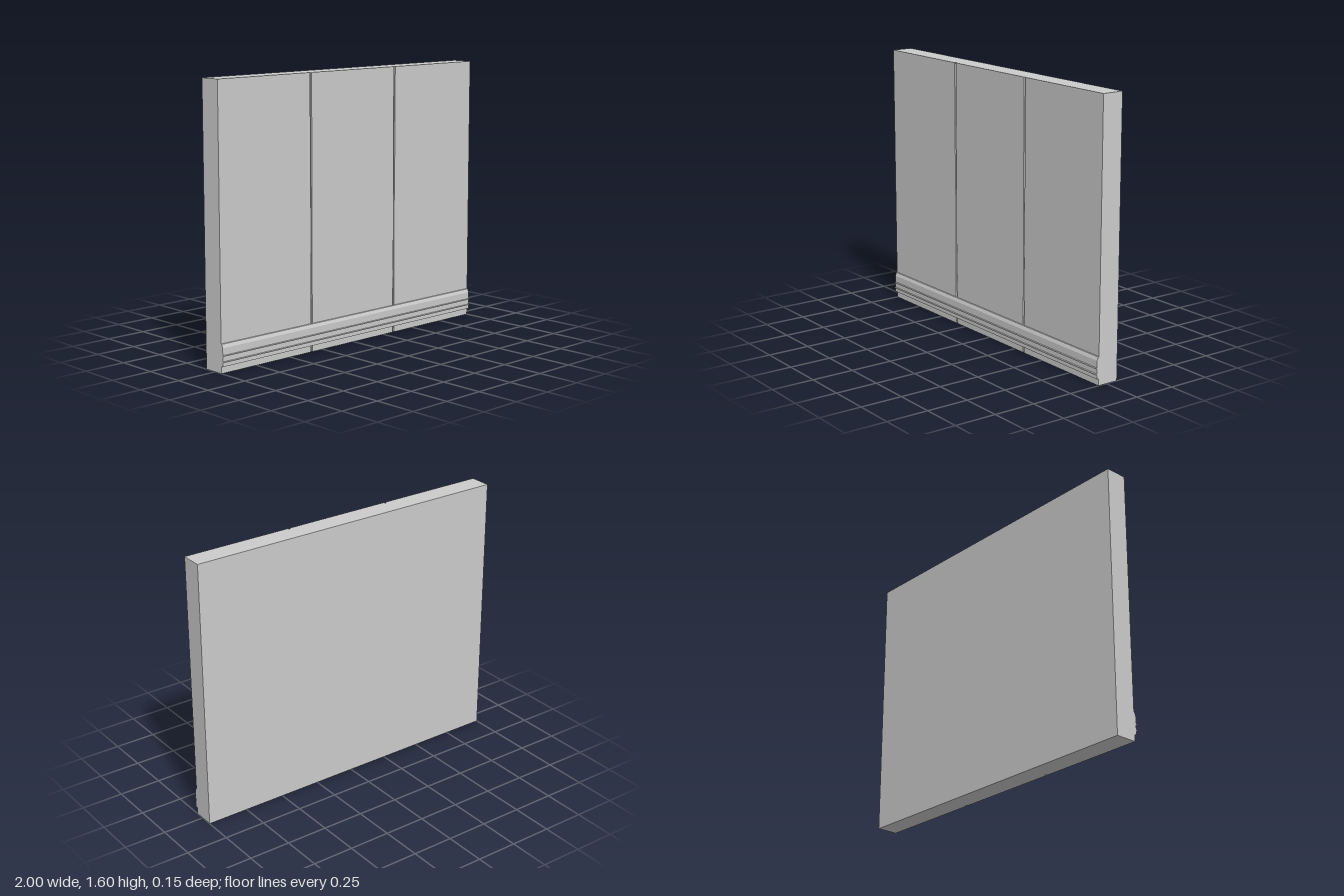
import * as THREE from 'three';

const material = new THREE.MeshStandardMaterial({ color: 0xcccccc, flatShading: true });
const HEIGHT = 1.6, BACK = -0.075, GROOVE_FLOOR = 0.045, FACE = 0.055;

// half-width of the joint between planks at each height: [y, half-width]
const joint = [
  [0, 0.006], [0.3, 0.006], [0.34, 0.004], [0.56, 0.004],
  [0.58, 0.003], [0.81, 0.003], [0.84, 0.005], [HEIGHT, 0.006],
];

function extrude(points, depth) {
  const shape = new THREE.Shape(points.map(([x, y]) => new THREE.Vector2(x, y)));
  return new THREE.ExtrudeGeometry(shape, { depth, bevelEnabled: false });
}

export function createModel() {
  const group = new THREE.Group();
  const add = (name, geometry) => {
    const mesh = new THREE.Mesh(geometry, material);
    mesh.name = name;
    group.add(mesh);
    return mesh;
  };

  // solid wall behind the planks
  const depth = GROOVE_FLOOR - BACK;
  add('wallCore', new THREE.BoxGeometry(2, HEIGHT, depth))
    .position.set(0, HEIGHT / 2, BACK + depth / 2);

  // three front planks, with uneven edges along the two joints
  for (let i = 0; i < 3; i++) {
    const x0 = -1 + (i * 2) / 3, x1 = x0 + 2 / 3;
    const right = i < 2 ? joint.map(([y, w]) => [x1 - w, y]) : [[1, 0], [1, HEIGHT]];
    const left = i > 0 ? joint.map(([y, w]) => [x0 + w, y]) : [[-1, 0], [-1, HEIGHT]];
    add(`plank${i + 1}`, extrude([...right, ...left.reverse()], FACE - GROOVE_FLOOR))
      .position.z = GROOVE_FLOOR;
  }

  // baseboard profile as (z, y): flat face, two thin beads, sloped top
  const profile = [
    [FACE, 0.04], [0.068, 0.04],
    [0.068, 0.062], [0.075, 0.064], [0.075, 0.067], [0.068, 0.069],
    [0.068, 0.097], [0.075, 0.099], [0.075, 0.102], [0.068, 0.104],
    [0.068, 0.145], [0.06, 0.165], [FACE, 0.167],
  ];
  const rail = extrude(profile, 2);
  rail.rotateY(-Math.PI / 2).translate(1, 0, 0);
  add('baseboard', rail);

  return group;
}
